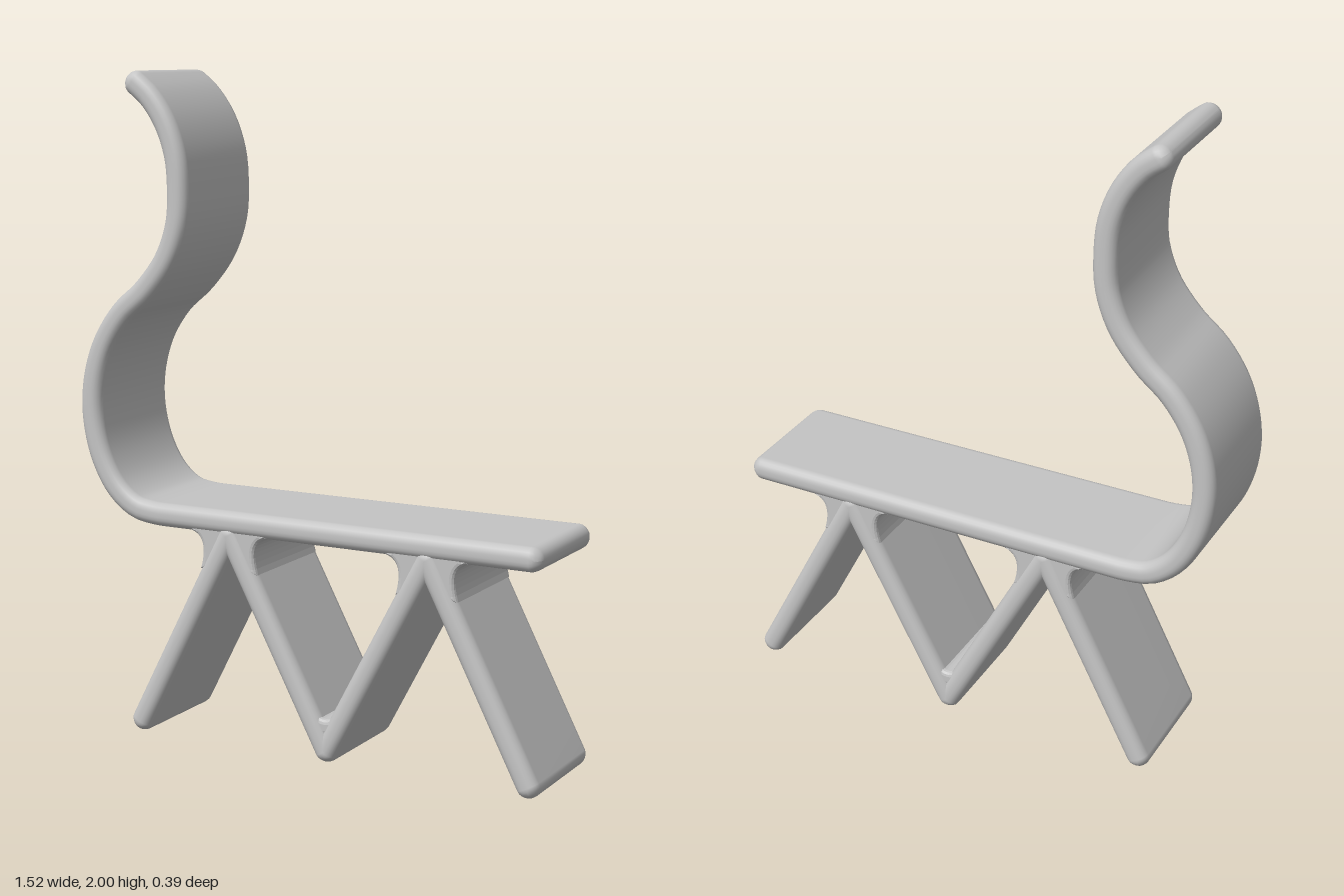
import * as THREE from 'three';

const HALF_W = 0.193, HALF_T = 0.036, ROUND = 0.034;

// Rounded-rectangle section: a across the thickness, b across the width
function section(t, w) {
  const c = Math.min(0.03, t), pts = [];
  [[1, 1], [-1, 1], [-1, -1], [1, -1]].forEach(([sa, sb], q) => {
    for (let k = 0; k <= 5; k++) {
      const ang = (q + k / 5) * Math.PI / 2;
      pts.push([sa * (t - c) + c * Math.cos(ang), sb * (w - c) + c * Math.sin(ang)]);
    }
  });
  return pts;
}

// Sweeps a soft-edged plank along a curve in the xy plane, with rounded ends
function plank(curve, steps, halfT = HALF_T) {
  const stations = [];
  const add = (u, along, inset) => {
    const p = curve.getPointAt(u), d = curve.getTangentAt(u);
    stations.push({ p: p.addScaledVector(d, along), d, inset });
  };
  const ends = 6, r = Math.min(ROUND, halfT - 0.002);
  for (let k = ends; k > 0; k--) {
    const a = k / ends * Math.PI / 2;
    add(0, -r * Math.sin(a), r * (1 - Math.cos(a)));
  }
  for (let i = 0; i <= steps; i++) add(i / steps, 0, 0);
  for (let k = 1; k <= ends; k++) {
    const a = k / ends * Math.PI / 2;
    add(1, r * Math.sin(a), r * (1 - Math.cos(a)));
  }

  const pos = [], idx = [];
  let n = 0;
  for (const { p, d, inset } of stations) {
    const ring = section(halfT - inset, HALF_W - inset);
    n = ring.length;
    for (const [a, b] of ring) pos.push(p.x - d.y * a, p.y + d.x * a, b);
  }
  const last = stations.length - 1;
  for (let i = 0; i < last; i++) {
    for (let j = 0; j < n; j++) {
      const k = (j + 1) % n, A = i * n, B = A + n;
      idx.push(A + j, A + k, B + k, A + j, B + k, B + j);
    }
  }
  // Close both tips
  const c0 = pos.length / 3, c1 = c0 + 1;
  for (const s of [stations[0], stations[last]]) pos.push(s.p.x, s.p.y, 0);
  for (let j = 0; j < n; j++) {
    const k = (j + 1) % n;
    idx.push(c0, k, j, c1, last * n + j, last * n + k);
  }
  const g = new THREE.BufferGeometry();
  g.setAttribute('position', new THREE.Float32BufferAttribute(pos, 3));
  g.setIndex(idx);
  g.computeVertexNormals();
  return g;
}

// Filler between planks, extruded across the width
function filler(shape) {
  const depth = 0.34, bevel = 0.014;
  const g = new THREE.ExtrudeGeometry(shape, {
    depth, curveSegments: 10, bevelEnabled: true, bevelThickness: bevel,
    bevelSize: bevel, bevelOffset: -bevel, bevelSegments: 3,
  });
  return g.translate(0, 0, -depth / 2);
}

export function createModel() {
  const group = new THREE.Group();
  const grey = new THREE.MeshStandardMaterial({ color: 0xc4c4c4 });
  grey.name = 'plain grey';
  const add = (name, geometry) => {
    const m = new THREE.Mesh(geometry, grey);
    m.name = name;
    group.add(m);
    return m;
  };
  const v = (x, y) => new THREE.Vector3(x, y, 0);

  // Seat flowing into the S-shaped back
  const back = new THREE.CatmullRomCurve3([
    [-0.5, 0.688], [-0.575, 0.702], [-0.645, 0.755], [-0.7, 0.85], [-0.727, 0.97],
    [-0.721, 1.08], [-0.685, 1.19], [-0.62, 1.285], [-0.535, 1.36], [-0.46, 1.455],
    [-0.42, 1.56], [-0.413, 1.66], [-0.422, 1.76], [-0.457, 1.855], [-0.51, 1.928], [-0.557, 1.966],
  ].map(([x, y]) => v(x, y)), false, 'centripetal');
  const path = new THREE.CurvePath();
  path.add(new THREE.LineCurve3(v(0.722, 0.688), v(-0.5, 0.688)));
  path.add(back);
  add('seatAndBack', plank(path, 110));

  // Zigzag legs
  const zigzag = [v(-0.562, 0.038), v(-0.245, 0.65), v(0.08, 0.04), v(0.405, 0.65), v(0.722, 0.038)];
  for (let i = 0; i < 4; i++) {
    add('leg' + (i + 1), plank(new THREE.LineCurve3(zigzag[i], zigzag[i + 1]), 8, 0.035));
  }

  // Flared joints under the seat
  const flare = new THREE.Shape();
  flare.moveTo(0.13, 0.67);
  flare.lineTo(-0.13, 0.67);
  flare.lineTo(-0.13, 0.653);
  flare.quadraticCurveTo(-0.068, 0.64, -0.098, 0.54);
  flare.lineTo(-0.056, 0.54);
  flare.lineTo(0, 0.59);
  flare.lineTo(0.056, 0.54);
  flare.lineTo(0.098, 0.54);
  flare.quadraticCurveTo(0.068, 0.64, 0.13, 0.653);
  for (const x of [-0.245, 0.405]) add('legJoint', filler(flare)).position.x = x;

  // Soft web where the two inner legs meet the floor
  const web = new THREE.Shape();
  web.moveTo(-0.035, 0.155);
  web.lineTo(-0.035, 0.09);
  web.lineTo(0.035, 0.09);
  web.lineTo(0.035, 0.155);
  web.quadraticCurveTo(0, 0.12, -0.035, 0.155);
  add('footWeb', filler(web)).position.x = 0.08;

  return group;
}
